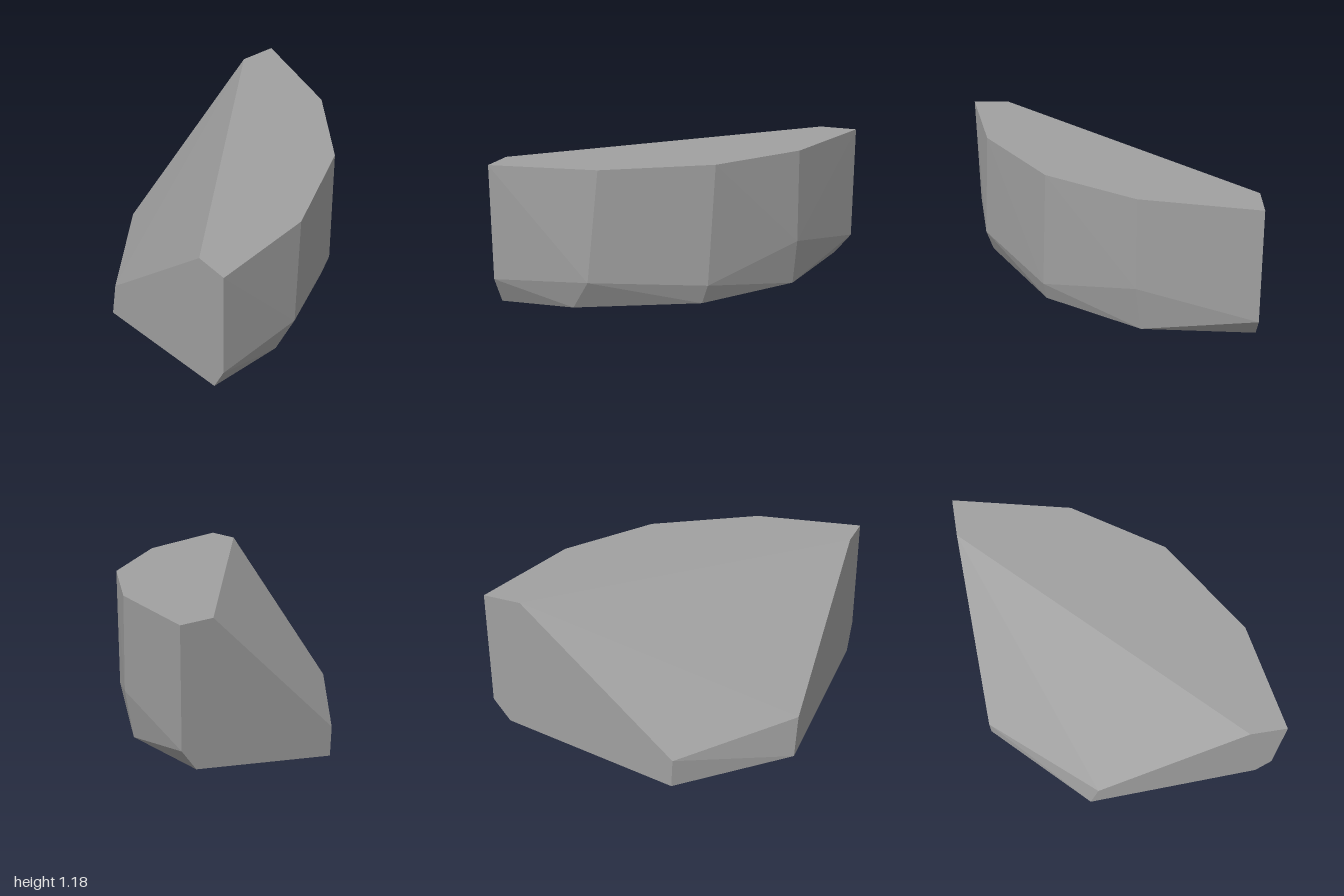
import * as THREE from 'three';

export function createModel() {
  const group = new THREE.Group();
  const stone = new THREE.MeshStandardMaterial({ color: 0xa0a0a0 });
  stone.name = 'stoneGrey';
  stone.flatShading = true;

  // Rounded flank: three rings from the left-hand front corner to the back corner
  const top = [[-1, 1.18, 0.99], [-0.26, 1.18, 0.85], [0.41, 1.18, 0.42], [0.81, 1.18, -0.18], [1, 1.18, -0.99]];
  const mid = [[-1, 0.37, 0.97], [-0.33, 0.4, 0.89], [0.37, 0.33, 0.45], [0.81, 0.52, -0.18], [0.99, 0.36, -0.99]];
  const low = [[-1, 0.18, 0.87], [-0.46, 0.195, 0.85], [0.32, 0.19, 0.43], [0.77, 0.19, -0.22], [0.87, 0.21, -0.99]];

  // Corners of the sloping cut and the small band below it
  const cutBack = [0.73, 1.18, -0.99], cutSide = [-1, 1.18, 0.74];
  const slopeBack = [-0.36, 0.21, -0.99], slopeSide = [-1, 0.29, -0.28];
  const footBack = [-0.35, 0, -0.99], footSide = [-1, 0, -0.34];
  const belly = [-0.48, 0.03, -0.2];

  const addFacets = (name, triangles) => {
    const geometry = new THREE.BufferGeometry();
    geometry.setAttribute('position', new THREE.Float32BufferAttribute(triangles.flat(2), 3));
    geometry.computeVertexNormals();
    const mesh = new THREE.Mesh(geometry, stone);
    mesh.name = name;
    group.add(mesh);
  };
  const fan = (points) => points.slice(2).map((p, i) => [points[0], points[i + 1], p]);

  // Strip between two rings; the last facet is split the other way
  const strip = (upper, lower) => {
    const triangles = [];
    for (let i = 0; i < upper.length - 1; i++) {
      const a = upper[i], b = upper[i + 1], c = lower[i], d = lower[i + 1];
      if (i < upper.length - 2) triangles.push([a, c, d], [a, d, b]);
      else triangles.push([a, c, b], [b, c, d]);
    }
    return triangles;
  };

  addFacets('flank', strip(top, mid));
  addFacets('lowerBevel', strip(mid, low));
  addFacets('topFace', fan([...top, cutBack, cutSide]));
  addFacets('sideFace', fan([top[0], cutSide, slopeSide, footSide, low[0], mid[0]]));
  addFacets('backFace', fan([top[4], mid[4], low[4], footBack, slopeBack, cutBack]));
  addFacets('slope', fan([cutBack, slopeBack, slopeSide, cutSide]));
  addFacets('footBand', fan([slopeBack, footBack, footSide, slopeSide]));

  // Underside rising gently towards the flank
  const rim = [...low, footBack, footSide];
  addFacets('underside', rim.map((p, i) => [belly, rim[(i + 1) % rim.length], p]));
  return group;
}
